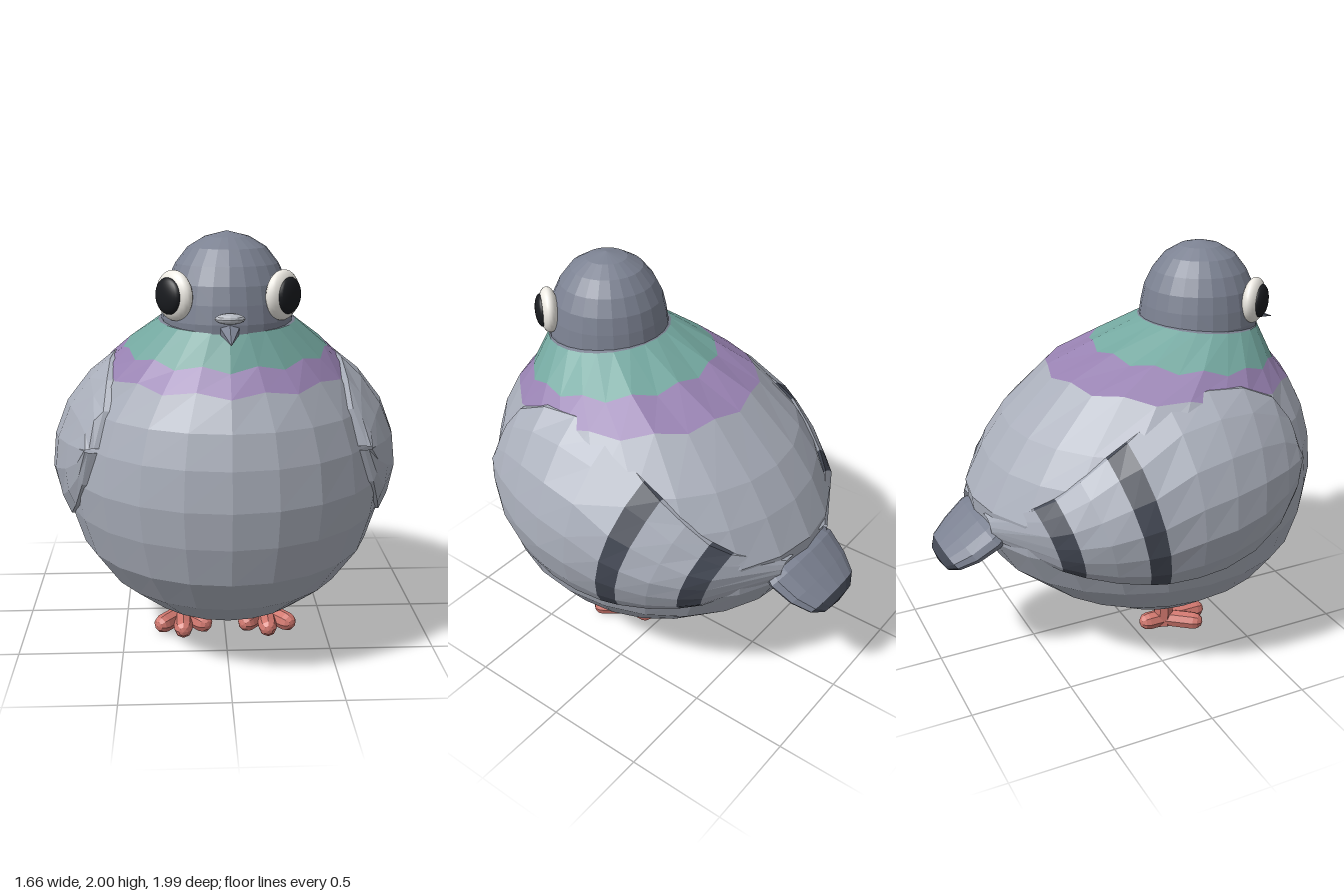
import * as THREE from 'three';

const GREY = 0xa9aeba, SLATE = 0x7c8292, DARK = 0x444955, GREEN = 0x74a8a0, PURPLE = 0x9882b2, PINK = 0xd0776e;

function mesh(name, geometry, color, flat = true) {
  const material = new THREE.MeshStandardMaterial({ color, flatShading: flat, side: THREE.DoubleSide });
  const m = new THREE.Mesh(geometry, material);
  m.name = name;
  return m;
}

// Surface through rows of points, each row running left to right
function grid(rows) {
  const n = rows[0].length, index = [];
  for (let i = 0; i < rows.length - 1; i++) {
    for (let j = 0; j < n - 1; j++) {
      const a = i * n + j;
      index.push(a, a + 1, a + n + 1, a, a + n + 1, a + n);
    }
  }
  const g = new THREE.BufferGeometry();
  g.setAttribute('position', new THREE.Float32BufferAttribute(rows.flat(2), 3));
  g.setIndex(index);
  g.computeVertexNormals();
  return g;
}

// Body rings: y, front z, back z, half width, z of widest point, rise towards the back, zigzag
const RINGS = [
  [0.13, 0.15, 0.15, 0, 0.15, 0, 0],
  [0.175, 0.45, -0.08, 0.22, 0.15, 0, 0],
  [0.24, 0.67, -0.24, 0.42, 0.15, 0, 0],
  [0.36, 0.82, -0.47, 0.58, 0.15, 0, 0],
  [0.52, 0.93, -0.66, 0.70, 0.14, 0, 0],
  [0.70, 0.98, -0.77, 0.76, 0.13, 0, 0],
  [0.87, 1.00, -0.785, 0.785, 0.13, 0, 0],
  [1.05, 0.985, -0.69, 0.76, 0.13, 0, 0],
  [1.20, 0.945, -0.58, 0.70, 0.15, 0, 0],
  [1.37, 0.875, -0.36, 0.58, 0.25, 0.065, 0.022],
  [1.465, 0.79, -0.12, 0.475, 0.33, 0.09, 0.025],
  [1.61, 0.72, 0.13, 0.31, 0.42, 0.08, 0],
];
const SEGMENTS = 24;

function ringRow([y, front, back, width, mid, rise, zigzag]) {
  return Array.from({ length: SEGMENTS + 1 }, (_, j) => {
    const a = (j / SEGMENTS) * Math.PI * 2, c = Math.cos(a);
    const k = j % 2 ? 1 - zigzag * 1.4 : 1;
    const dz = (c > 0 ? front - mid : mid - back) * c * k;
    return [Math.sin(a) * width * k, y - rise * dz + (j % 2 ? zigzag : 0), mid + dz];
  });
}

// Half width of the body at a height and depth
function bodyX(y, z) {
  let i = 0;
  while (i < RINGS.length - 2 && RINGS[i + 1][0] < y) i++;
  const t = (y - RINGS[i][0]) / (RINGS[i + 1][0] - RINGS[i][0]);
  const [, front, back, width, mid] = RINGS[i].map((v, k) => THREE.MathUtils.lerp(v, RINGS[i + 1][k], t));
  const s = (z - mid) / (z > mid ? front - mid : mid - back);
  return width * Math.sqrt(Math.max(0.04, 1 - s * s));
}

// Wing stations, front to back: top z, top y, bottom z, bottom y
const STATIONS = [
  [0.67, 1.07, 0.67, 1.05], [0.635, 1.23, 0.625, 0.89], [0.54, 1.35, 0.52, 0.76],
  [0.38, 1.42, 0.36, 0.67], [0.2, 1.43, 0.2, 0.62], [0, 1.39, 0.06, 0.60],
  [-0.22, 1.26, -0.08, 0.59], [-0.32, 1.20, -0.17, 0.595], [-0.44, 1.10, -0.31, 0.61],
  [-0.54, 1.01, -0.44, 0.635], [-0.62, 0.95, -0.53, 0.66], [-0.77, 0.83, -0.76, 0.72],
];
// Across the wing: position from bottom to top, thickness over the body
const ACROSS = [[0, -0.04], [0, 0.015], [0.12, 0.035], [0.3, 0.05], [0.5, 0.055], [0.7, 0.05], [0.88, 0.035], [1, 0.015], [1, -0.04]];

function wing(side) {
  const g = new THREE.Group();
  g.name = side > 0 ? 'leftWing' : 'rightWing';
  const parts = [[0, 6, 'wingFront'], [6, 7, 'wingBar'], [7, 9, 'wingMiddle'], [9, 10, 'wingBar'], [10, 11, 'wingTip']];
  for (const [from, to, name] of parts) {
    const rows = ACROSS.map(([v, thick]) => {
      const row = STATIONS.slice(from, to + 1).map(([zt, yt, zb, yb]) => {
        const y = THREE.MathUtils.lerp(yb, yt, v), z = THREE.MathUtils.lerp(zb, zt, v);
        return [side * (bodyX(y, z) + thick), y, z];
      });
      return side > 0 ? row : row.reverse();
    });
    g.add(mesh(name, grid(rows), name === 'wingBar' ? DARK : GREY));
  }
  return g;
}

function eye(side) {
  const g = new THREE.Group();
  g.name = side > 0 ? 'leftEye' : 'rightEye';
  const white = mesh('eyeWhite', new THREE.SphereGeometry(0.11, 24, 16), 0xeeebe4, false);
  white.scale.z = 0.45;
  const pupil = mesh('pupil', new THREE.SphereGeometry(0.08, 24, 16), 0x191b1f, false);
  pupil.scale.z = 0.4;
  pupil.position.z = 0.033;
  g.add(white, pupil);
  g.position.set(side * 0.235, 1.735, 0.605);
  g.rotation.y = side * 0.88;
  return g;
}

function foot(side) {
  const g = new THREE.Group();
  g.name = side > 0 ? 'leftFoot' : 'rightFoot';
  const leg = mesh('leg', new THREE.CylinderGeometry(0.052, 0.052, 0.2, 8), PINK);
  leg.position.y = 0.12;
  g.add(leg);
  // Three front toes and one back toe
  for (const [x, z] of [[-0.1, 0.13], [0, 0.19], [0.1, 0.13], [0, -0.09]]) {
    const length = Math.hypot(x, z);
    const toe = mesh('toe', new THREE.CapsuleGeometry(0.046, length, 3, 8), PINK);
    toe.position.set(x / 2, 0.05, z / 2);
    toe.quaternion.setFromUnitVectors(new THREE.Vector3(0, 1, 0), new THREE.Vector3(x, 0, z).normalize());
    g.add(toe);
  }
  g.position.set(side * 0.21, 0, 0.155);
  return g;
}

// Oval tail sections leaning down and back: z, y, half width, half thickness
function tailRow([z, y, w, h]) {
  return Array.from({ length: 17 }, (_, j) => {
    const a = (j / 16) * Math.PI * 2;
    return [Math.cos(a) * w, y + Math.sin(a) * h * 0.8, z - Math.sin(a) * h * 0.6];
  });
}

export function createModel() {
  const model = new THREE.Group();
  model.name = 'bird';

  // Body with coloured neck bands
  const rows = RINGS.map(ringRow);
  model.add(
    mesh('body', grid(rows.slice(0, 10)), GREY),
    mesh('purpleBand', grid(rows.slice(9, 11)), PURPLE),
    mesh('greenBand', grid(rows.slice(10)), GREEN),
  );

  // Head
  const profile = [[0.29, 1.55], [0.295, 1.62], [0.285, 1.7], [0.268, 1.78], [0.23, 1.86], [0.175, 1.93], [0.1, 1.975], [0, 2]];
  const head = mesh('head', new THREE.LatheGeometry(profile.map(p => new THREE.Vector2(...p)), 24), SLATE);
  head.position.z = 0.43;
  const collar = mesh('collar', grid([rows[11], rows[11].map(([x, y, z]) => [x * 0.9, y + 0.012, 0.42 + (z - 0.42) * 0.9])]), SLATE);
  model.add(head, collar);

  // Beak and the pale swelling above it
  const beak = mesh('beak', new THREE.ConeGeometry(0.07, 0.24, 6), SLATE);
  beak.scale.z = 0.65;
  beak.rotation.x = Math.PI / 2 + 0.22;
  beak.position.set(0, 1.585, 0.755);
  const cere = mesh('cere', new THREE.SphereGeometry(1, 12, 8), 0xb4b8c0);
  cere.scale.set(0.065, 0.024, 0.035);
  cere.position.set(0, 1.65, 0.735);
  model.add(beak, cere);

  // Tail with a dark end
  const tail = [[-0.66, 0.78, 0.22, 0.06], [-0.75, 0.725, 0.26, 0.085], [-0.85, 0.655, 0.235, 0.075],
    [-0.93, 0.605, 0.185, 0.06], [-0.965, 0.578, 0.12, 0.035], [-0.975, 0.57, 0, 0]].map(tailRow);
  model.add(mesh('tail', grid(tail.slice(0, 4)), SLATE), mesh('tailTip', grid(tail.slice(3)), DARK));

  for (const side of [1, -1]) model.add(wing(side), eye(side), foot(side));
  return model;
}
